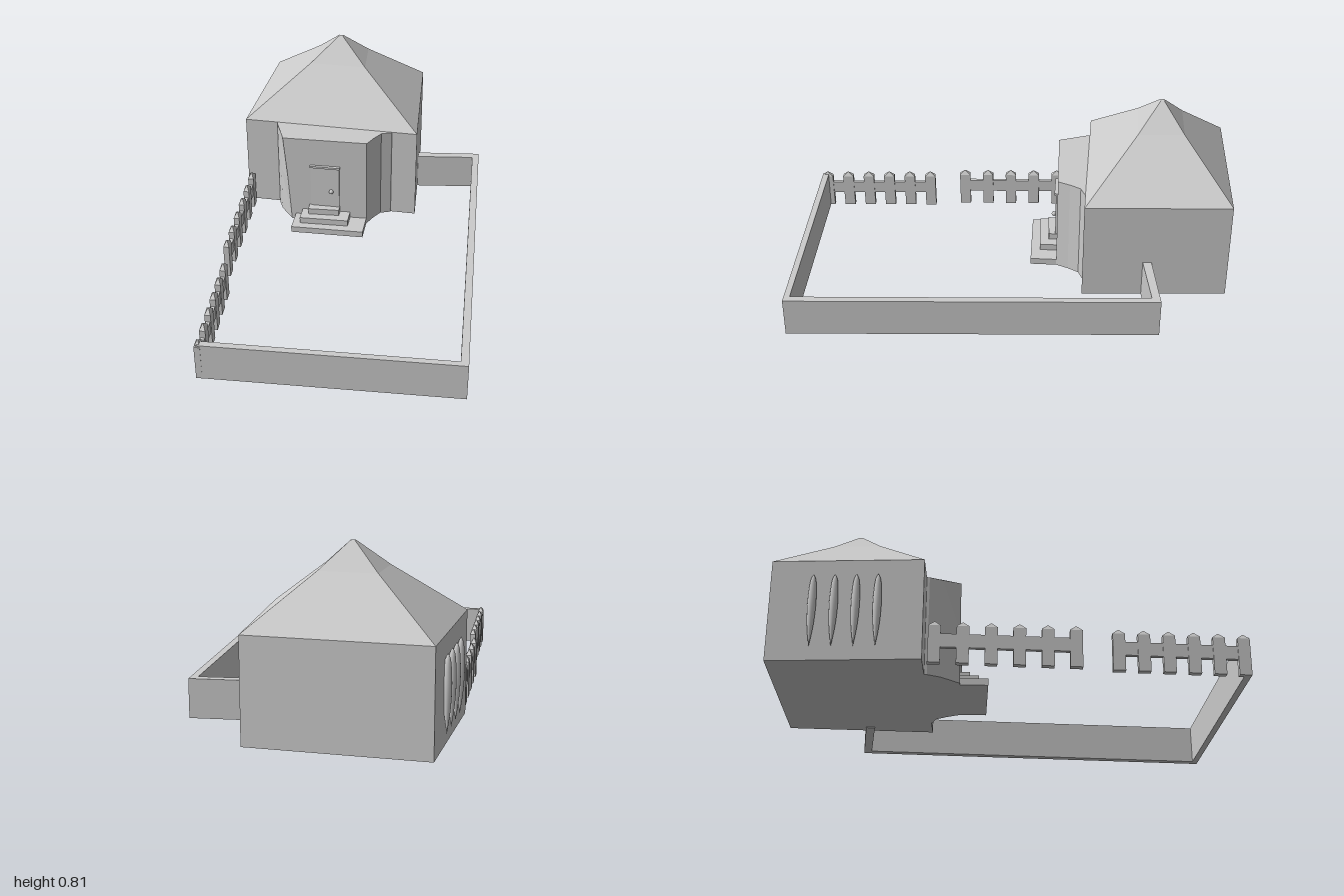
import * as THREE from 'three';

const material = new THREE.MeshStandardMaterial({ color: 0xcccccc, side: THREE.DoubleSide });
const ground = z => 0.01 * (1 - z);

function part(parent, name, geometry, x = 0, y = 0, z = 0) {
  const mesh = new THREE.Mesh(geometry, material);
  mesh.name = name;
  mesh.position.set(x, y, z);
  parent.add(mesh);
  return mesh;
}

// Flat-faced solid through stacked outlines, each a list of [x, y, z]
function loft(rings) {
  const outline = rings[0].map(p => new THREE.Vector2(p[0], p[2]));
  if (THREE.ShapeUtils.area(outline) < 0) {
    rings = rings.map(r => [...r].reverse());
    outline.reverse();
  }
  const out = [];
  const tri = (a, b, c) => out.push(...a, ...b, ...c);
  const n = outline.length, first = rings[0], last = rings[rings.length - 1];
  for (let k = 0; k < rings.length - 1; k++) {
    for (let i = 0; i < n; i++) {
      const j = (i + 1) % n, lo = rings[k], hi = rings[k + 1];
      tri(lo[i], hi[i], hi[j]);
      tri(lo[i], hi[j], lo[j]);
    }
  }
  for (const [a, b, c] of THREE.ShapeUtils.triangulateShape(outline, [])) {
    tri(first[a], first[b], first[c]);
    tri(last[c], last[b], last[a]);
  }
  const g = new THREE.BufferGeometry();
  g.setAttribute('position', new THREE.Float32BufferAttribute(out, 3));
  g.computeVertexNormals();
  return g;
}

const level = (pts, y) => pts.map(([x, z]) => [x, y, z]);
const slab = (pts, y0, y1) => loft([level(pts, y0), level(pts, y1)]);

function addHouse(root) {
  const house = new THREE.Group();
  house.name = 'house';
  root.add(house);
  const plan = [[-0.57, -1], [0.2, -1], [0.245, -0.345], [-0.6, -0.36]];
  part(house, 'walls', slab(plan, 0.02, 0.475));

  // Pyramid roof with a slight sag in the slopes
  const toward = (t, y) => level(plan.map(([x, z]) => [x + (-0.18 - x) * t, z + (-0.68 - z) * t]), y);
  part(house, 'roof', loft([toward(0, 0.475), toward(0.68, 0.697), toward(0.975, 0.808), toward(0.995, 0.81)]));

  // Entrance bay, concave on its right, leaning on its left
  const bay = (left, y) => level([
    [-0.445, -0.37], [-0.44, -0.345], [-0.415, -0.29], [left, -0.21],
    [0.02, -0.22], [0.045, -0.275], [0.075, -0.325], [0.12, -0.342], [0.14, -0.37]], y);
  part(house, 'entranceBay', loft([bay(-0.35, 0.02), bay(-0.365, 0.25), bay(-0.385, 0.475)]));

  // Door with a projecting head and a knob
  part(house, 'door', new THREE.BoxGeometry(0.14, 0.225, 0.02), -0.182, 0.215, -0.218);
  part(house, 'doorHead', new THREE.BoxGeometry(0.146, 0.01, 0.028), -0.182, 0.33, -0.215);
  part(house, 'doorKnob', new THREE.SphereGeometry(0.011, 16, 12), -0.15, 0.2, -0.199);

  // Entrance steps
  [[-0.33, 0.02, -0.09], [-0.295, -0.06, -0.13], [-0.26, -0.11, -0.17]].forEach(([x0, x1, z], i) => {
    const y = 0.02 + i * 0.03;
    part(house, 'step', slab([[x0, -0.23], [x1, -0.23], [x1, z - 0.008], [x0, z]], y, y + 0.03));
  });

  // Tapered bulging ornaments on the side wall
  const profile = [[0, -0.165], [0.007, -0.12], [0.014, -0.06], [0.018, 0.02], [0.016, 0.09], [0.011, 0.14], [0, 0.165]]
    .map(p => new THREE.Vector2(...p));
  const spindle = new THREE.LatheGeometry(new THREE.SplineCurve(profile).getPoints(18), 14);
  for (let i = 0; i < 4; i++) {
    const z = -0.82 + i * 0.09;
    part(house, 'wallOrnament', spindle, -0.59 - i * 0.004, 0.24, z);
  }
}

// Low wall on three sides of the yard
function addYardWall(root) {
  const plan = [[0.18, -0.65], [0.53, -0.69], [0.615, 0.945], [-0.5, 0.995],
    [-0.49, 0.965], [0.58, 0.92], [0.5, -0.65], [0.18, -0.61]];
  const ring = h => plan.map(([x, z]) => [x, ground(z) + h, z]);
  part(root, 'yardWall', loft([ring(0), ring(0.174)]));
}

// Picket fence run from one end to the other
function addFence(root, x0, z0, x1, z1, count) {
  const fence = new THREE.Group();
  fence.name = 'picketFence';
  fence.position.set((x0 + x1) / 2, ground((z0 + z1) / 2), (z0 + z1) / 2);
  fence.rotation.set(0.01, Math.atan2(x1 - x0, z1 - z0), 0, 'YXZ');
  root.add(fence);
  const length = Math.hypot(x1 - x0, z1 - z0);
  part(fence, 'rail', new THREE.BoxGeometry(0.018, 0.06, length - 0.02), 0, 0.1, 0);
  const rect = (a, b, y) => level([[-a, -b], [a, -b], [a, b], [-a, b]], y);
  const picket = loft([rect(0.013, 0.026, 0), rect(0.013, 0.026, 0.165), rect(0.001, 0.001, 0.187)]);
  for (let i = 0; i < count; i++) {
    part(fence, 'picket', picket, 0, 0, (length - 0.052) * (i / (count - 1) - 0.5));
  }
}

export function createModel() {
  const root = new THREE.Group();
  root.name = 'houseWithYard';
  addHouse(root);
  addYardWall(root);
  addFence(root, -0.575, -0.34, -0.55, 0.295, 6);
  addFence(root, -0.525, 0.42, -0.495, 0.995, 6);
  return root;
}
